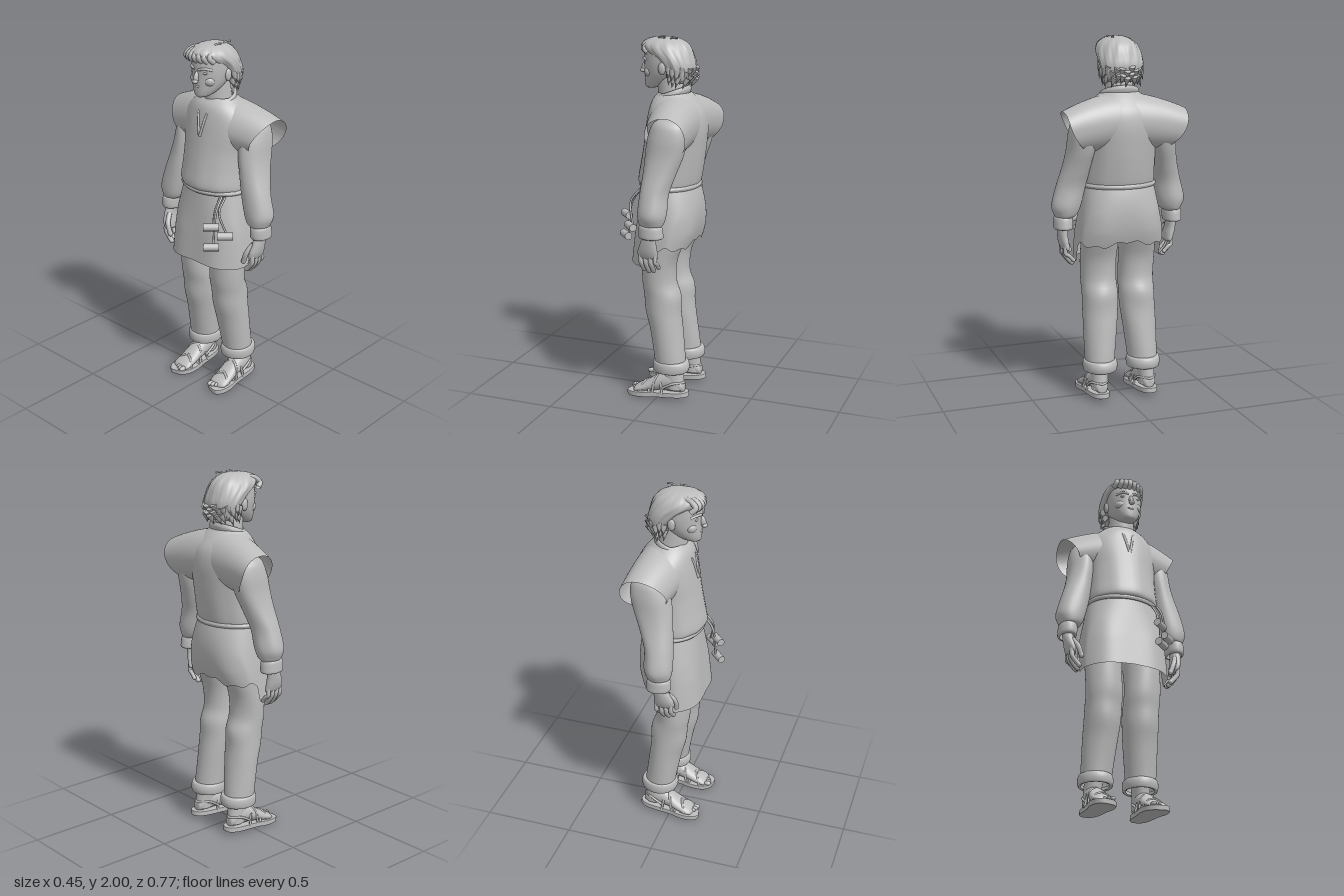
import * as THREE from 'three';

const grey = new THREE.MeshStandardMaterial({ color: 0xbcbcbc, side: THREE.DoubleSide });
grey.name = 'clay grey';
const V = (x, y, z) => new THREE.Vector3(x, y, z);
const { sin, cos, PI, max, min, abs } = Math;

// Smooth skin around a closed ring (u) that travels along a part (v)
function surface(fn, nu = 40, nv = 30) {
  const pos = [], idx = [];
  for (let j = 0; j <= nv; j++)
    for (let i = 0; i < nu; i++) pos.push(...fn((i / nu) * 2 * PI, j / nv));
  for (let j = 0; j < nv; j++)
    for (let i = 0; i < nu; i++) {
      const a = j * nu + i, b = j * nu + (i + 1) % nu;
      idx.push(a, a + nu, b, b, a + nu, b + nu);
    }
  const g = new THREE.BufferGeometry();
  g.setAttribute('position', new THREE.Float32BufferAttribute(pos, 3));
  g.setIndex(idx);
  g.computeVertexNormals();
  return g;
}

// Loft through rows of [y, centre x, centre z, radius x, radius z]; ripple varies the radius
function loft(rows, ripple = () => 1, nu = 40, nv = 32) {
  const mid = new THREE.CatmullRomCurve3(rows.map(r => V(r[1], r[0], r[2])), false, 'catmullrom');
  const rad = new THREE.CatmullRomCurve3(rows.map(r => V(r[3], 0, r[4])), false, 'catmullrom');
  return surface((t, v) => {
    const c = mid.getPoint(v), r = rad.getPoint(v), k = ripple(t, v);
    return [c.x + max(0, r.x) * cos(t) * k, c.y, c.z + max(0, r.z) * sin(t) * k];
  }, nu, nv);
}

function tube(points, r, n = 20) {
  return new THREE.TubeGeometry(new THREE.CatmullRomCurve3(points.map(p => V(...p))), n, r, 8);
}

export function createModel() {
  const model = new THREE.Group();
  const add = (name, geo, parent = model) => {
    const m = new THREE.Mesh(geo, grey);
    m.name = name;
    parent.add(m);
    return m;
  };
  const group = (name, parent = model) => {
    const g = new THREE.Group();
    g.name = name;
    parent.add(g);
    return g;
  };
  const ball = (name, p, s, parent = model) => {
    const m = add(name, new THREE.SphereGeometry(1, 20, 14), parent);
    m.position.set(...p);
    m.scale.set(...s);
    return m;
  };

  // Head and face, looking along -x
  const head = group('head');
  add('neck', loft([[1.6, .05, 0, .09, .085], [1.7, .03, 0, .08, .075], [1.8, .02, 0, .075, .07]]), head);
  add('skull', loft([[1.715, -.09, 0, 0, 0], [1.722, -.085, 0, .034, .034], [1.745, -.058, 0, .068, .06],
    [1.785, -.03, 0, .097, .083], [1.83, -.015, 0, .112, .096], [1.88, -.01, 0, .118, .1],
    [1.93, -.01, 0, .11, .095], [1.965, -.01, 0, .07, .06], [1.98, -.01, 0, 0, 0]]), head);
  ball('nose', [-.13, 1.828, 0], [.019, .034, .013], head).rotation.z = -.3;
  ball('noseTip', [-.142, 1.808, 0], [.015, .012, .017], head);
  ball('chin', [-.102, 1.732, 0], [.022, .018, .026], head);
  for (const [y, x] of [[1.777, -.126], [1.765, -.122]])
    add('lip', tube([[x + .022, y + .008, -.038], [x, y, 0], [x + .022, y + .008, .038]], .006), head);
  for (const s of [1, -1]) {
    ball('eye', [-.108, 1.853, .04 * s], [.012, .008, .016], head);
    add('brow', tube([[-.128, 1.87, .012 * s], [-.119, 1.878, .045 * s], [-.088, 1.87, .074 * s]], .007), head);
    ball('cheek', [-.082, 1.808, .045 * s], [.032, .03, .034], head);
    ball('ear', [.005, 1.832, .1 * s], [.021, .033, .013], head);
  }

  // Swept hair with a jagged nape and loose locks
  const strands = (t, v) => 1 + .018 * sin(13 * t + 7 * v) + .01 * sin(29 * t - 5 * v);
  add('hair', loft([[1.755, .1, 0, .03, .08], [1.785, .09, 0, .058, .102], [1.84, .07, 0, .086, .118],
    [1.885, .042, 0, .104, .122], [1.925, .004, 0, .128, .116], [1.955, -.014, 0, .126, .1],
    [1.978, -.018, 0, .096, .072], [1.99, -.016, 0, .055, .04], [1.994, -.015, 0, 0, 0]], strands, 90), head);
  for (let i = 0; i < 15; i++) {
    const a = -1.75 + i * .25, c = cos(a), s = sin(a);
    for (const y of [1.8, 1.765]) {
      const curl = add('napeLock', new THREE.ConeGeometry(.02, .06, 7), head);
      curl.position.set(.06 + .085 * c, y + .012 * sin(i * 2.4), (y > 1.78 ? .113 : .1) * s);
      curl.rotation.set(PI - .35 * s, 0, .5 * max(0, c));
    }
  }
  for (let i = 0; i < 7; i++) {
    const z = -.072 + i * .022, x = -.138 + 6 * (z + .015) * (z + .015);
    add('forelock', tube([[-.05, 1.968, z * .8], [x + .025, 1.96, z], [x, 1.935, z * 1.15],
      [x + .022, 1.91, z * 1.3]], .015), head);
  }
  for (const x of [-.03, .04])
    add('looseLock', tube([[x - .02, 1.965, .03], [x, 1.99, .045], [x + .035, 1.99, .05]], .005), head);

  // Vest body, collar and open neck slit
  add('vestBody', loft([[1.2, .02, 0, .155, .195], [1.23, .015, 0, .17, .2], [1.32, .03, 0, .17, .197],
    [1.42, .045, 0, .167, .2], [1.52, .056, 0, .162, .215], [1.6, .057, 0, .148, .205],
    [1.66, .045, 0, .12, .15], [1.7, .042, 0, .084, .1]], (t, v) => 1 + .012 * (1 - v) * sin(11 * t)));
  add('collar', surface((t, v) => {
    const w = v * 2 * PI, r = 1 + .11 * cos(w), x = .09 * r * cos(t);
    return [.028 + x, 1.685 + .36 * x + .022 * sin(w), .098 * r * sin(t)];
  }, 48, 12));
  for (const s of [1, -1])
    add('neckSlit', tube([[-.068, 1.65, .035 * s], [-.093, 1.59, .022 * s], [-.11, 1.5, .002 * s]], .007));

  // Flared shoulder cap, closed at the chest and cut obliquely at the armhole
  const shoulder = surface((t, v) => {
    const c = cos(t), s = -sin(t), e = v * v * .55 + v * .45;
    const inner = [.06 + .148 * c, 1.545 + .155 * s, .03];
    const k = (s + 1) / 2;
    const rim = [.094 + .118 * c + .015 * max(0, s), 1.5 + .11 * s, .2 + .143 * Math.pow(k, .55) + .018 * c * (1 - s * s)];
    return inner.map((p, i) => p + (rim[i] - p) * (i === 1 ? e : v));
  }, 56, 18);

  // Limbs are built on the +z side and mirrored
  const sole = new THREE.Shape();
  sole.moveTo(-.17, .01);
  sole.bezierCurveTo(-.19, .06, -.11, .078, -.05, .064);
  sole.bezierCurveTo(.03, .04, .16, .075, .175, .01);
  sole.bezierCurveTo(.185, -.06, .06, -.05, 0, -.055);
  sole.bezierCurveTo(-.06, -.07, -.16, -.075, -.17, .01);
  const soleGeo = new THREE.ExtrudeGeometry(sole, {
    depth: .02, bevelThickness: .004, bevelSize: .004, bevelSegments: 2, curveSegments: 14 });
  soleGeo.rotateX(PI / 2).rotateZ(.07).translate(0, .035, .14);
  const foot = loft([[-.155, .07, .14, 0, 0], [-.148, .075, .14, .03, .03], [-.09, .1, .14, .06, .046],
    [-.02, .092, .14, .052, .05], [.06, .058, .143, .034, .055], [.125, .036, .144, .02, .052],
    [.145, .03, .144, 0, 0]]).rotateZ(PI / 2);
  const cuffFolds = (t, v) => 1 + .015 * sin(5 * t + 6 * v) + .01 * sin(20 * v);

  for (const s of [1, -1]) {
    const side = group(s > 0 ? 'leftSide' : 'rightSide');
    side.scale.z = s;
    add('vestShoulder', shoulder, side);

    // Sleeve and wristband; the right arm swings slightly forward from the shoulder
    const arm = group('arm', side);
    if (s < 0) {
      arm.rotation.z = -.04;
      arm.position.set(-.062, .003, 0);
    }
    add('sleeve', loft([[1.03, .028, .315, .055, .045], [1.05, .028, .308, .068, .064], [1.1, .03, .304, .078, .082],
      [1.2, .032, .279, .076, .08], [1.3, .05, .253, .09, .076], [1.4, .07, .232, .105, .075],
      [1.5, .085, .222, .105, .075], [1.57, .09, .21, .08, .065], [1.6, .09, .2, 0, 0]], cuffFolds), arm);
    add('wristband', loft([[.965, .026, .322, .05, .038], [.972, .03, .322, .066, .05], [.995, .028, .321, .068, .052],
      [1.03, .026, .32, .062, .05], [1.04, .026, .32, .045, .04]]), arm);

    // Hand with curled fingers
    add('palm', loft([[.845, .008, .303, 0, 0], [.85, .008, .304, .05, .018], [.885, .006, .312, .056, .026],
      [.93, .012, .32, .046, .027], [.98, .022, .322, .036, .03]]), arm);
    for (let i = 0; i < 4; i++) {
      const x = -.033 + i * .027, end = .772 + [.008, 0, .003, .022][i];
      const f = .0135 - (i === 3 ? .002 : 0);
      add('finger', tube([[x, .875, .312], [x + .002, .83, .313], [x + .004, end + .025, .295], [x + .004, end, .272]], f), arm);
      ball('fingertip', [x + .004, end, .272], [f, f, f], arm);
    }
    add('thumb', tube([[-.015, .935, .305], [-.046, .885, .285], [-.046, .83, .265]], .014), arm);
    ball('thumbTip', [-.046, .83, .265], [.014, .016, .014], arm);

    // Trouser leg with a bulge behind the knee and a rolled hem
    add('trouserLeg', loft([[.18, .068, .127, .085, .08], [.25, .06, .124, .087, .085], [.4, .038, .115, .092, .094],
      [.5, .02, .11, .099, .099], [.59, .014, .108, .102, .1], [.67, -.006, .109, .094, .1], [.78, -.004, .112, .097, .101],
      [.88, .015, .109, .113, .103], [.98, .035, .106, .125, .104], [1.1, .04, .1, .12, .09]],
      (t, v) => 1 + .012 * sin(3 * t + 16 * v)), side);
    add('rolledHem', loft([[.165, .07, .127, .08, .075], [.162, .07, .127, .098, .09], [.19, .07, .127, .105, .095],
      [.217, .069, .127, .098, .091], [.222, .068, .127, .082, .078]], (t) => 1 + .01 * sin(4 * t)), side);

    // Sandalled foot
    add('ankle', loft([[.06, .1, .14, .055, .045], [.12, .09, .138, .058, .046], [.22, .075, .13, .06, .05]]), side);
    add('foot', foot, side);
    add('sandalSole', soleGeo, side);
    for (let i = 0; i < 5; i++)
      ball('toe', [-.145 + i * i * .0035, .036, .112 + i * .019], [.022, .013, i ? .01 : .014], side);
    for (const [x0, x1, h] of [[-.1, -.035, .085], [-.035, -.1, .087], [-.02, .04, .13], [.04, -.02, .132]])
      add('sandalStrap', tube([[x0, .032, .085], [x0 * .75 + x1 * .25, h - .018, .105], [(x0 + x1) / 2, h, .142],
        [x0 * .25 + x1 * .75, h - .018, .179], [x1, .032, .196]], .007), side);
    add('heelStrap', tube([[.03, .06, .09], [.1, .1, .092], [.152, .1, .14], [.1, .1, .188], [.03, .06, .19]], .007), side);
  }

  // Tunic skirt: long front panel, shorter ragged back panel
  add('tunicSkirt', surface((t, v) => {
    const c = cos(t), s = sin(t);
    const back = min(1, max(0, (c + .02) / .12));
    const hem = .79 - .015 * abs(s) + back * (.1 + .018 * sin(9 * t) * sin(4 * t));
    const y = hem + (1.2 - hem) * v, d = 1.2 - y;
    const front = .14 + .105 * d;
    const rear = .155 + .3 * d - 1.05 * d * d;
    const rx = c < 0 ? front : max(.1, rear);
    const sq = 1 + .14 * Math.pow(sin(2 * t), 2) * min(1, d * 4);
    return [.02 + rx * c * sq, y, (.195 + .2 * d - .2 * d * d) * s * min(sq, 1.08)];
  }, 120, 28));
  add('belt', surface((t, v) => {
    const w = v * 2 * PI, r = 1 + .05 * cos(w);
    return [.02 + .158 * r * cos(t), 1.2 + .013 * sin(w), .198 * r * sin(t)];
  }, 48, 10));

  // Wooden toggles hanging from the belt
  for (const [x, y, z, tie] of [[-.18, 1.04, .15, .14], [-.135, .99, .21, .17], [-.185, .925, .155, .15]]) {
    const toggle = add('hangingToggle', new THREE.CylinderGeometry(.021, .021, .085, 18));
    toggle.position.set(x, y, z);
    toggle.rotation.set(PI / 2, 0, -.75);
    add('toggleCord', tube([[-.095, 1.19, tie], [-.145, 1.12, tie + .005], [x + .015, y, z]], .006));
  }
  return model;
}
